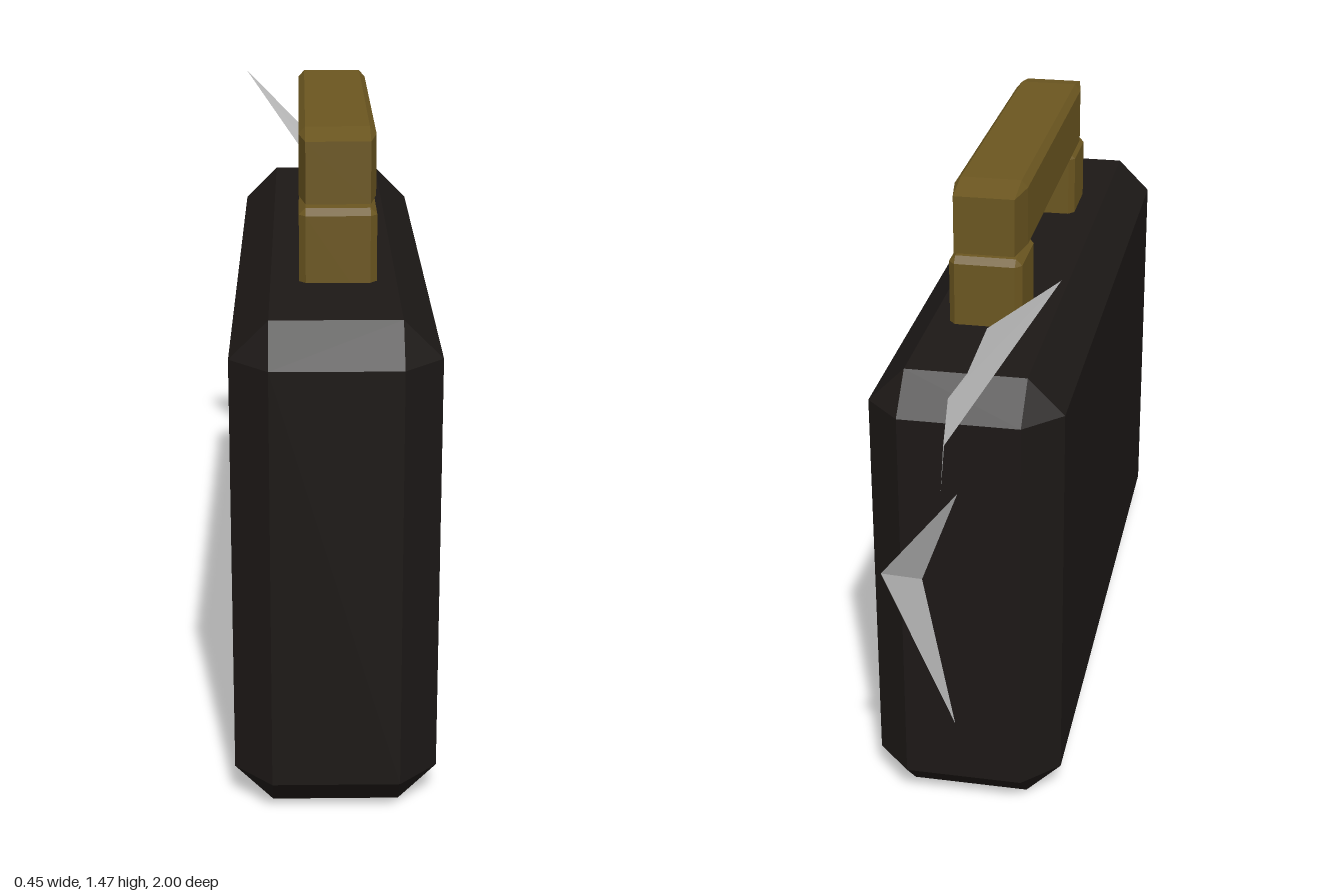
import * as THREE from 'three';
import { ConvexGeometry } from 'three/addons/geometries/ConvexGeometry.js';

// Box between two corners with every edge cut off; c = cut length along x, y and z
function chamferBox(min, max, c) {
  const half = min.map((v, i) => (max[i] - v) / 2);
  const mid = min.map((v, i) => (max[i] + v) / 2);
  const points = [];
  for (let axis = 0; axis < 3; axis++) {
    for (const sx of [-1, 1]) for (const sy of [-1, 1]) for (const sz of [-1, 1]) {
      const p = [sx, sy, sz].map((s, i) => mid[i] + s * (half[i] - (i === axis ? 0 : c[i])));
      points.push(new THREE.Vector3(...p));
    }
  }
  return new ConvexGeometry(points);
}

// Folded thin sheet from a few corners and the triangles joining them
function sheet(corners, triangles) {
  const g = new THREE.BufferGeometry();
  g.setAttribute('position', new THREE.Float32BufferAttribute(triangles.flat().flatMap((i) => corners[i]), 3));
  g.computeVertexNormals();
  return g;
}

export function createModel() {
  const model = new THREE.Group();
  const leather = new THREE.MeshStandardMaterial({ color: 0x1c1816, flatShading: true });
  const brass = new THREE.MeshStandardMaterial({ color: 0x6b5620, flatShading: true });
  const paper = new THREE.MeshStandardMaterial({ color: 0xcccccc, flatShading: true, side: THREE.DoubleSide });

  const add = (name, geometry, material, parent = model) => {
    const mesh = new THREE.Mesh(geometry, material);
    mesh.name = name;
    parent.add(mesh);
  };

  // Case body
  add('caseBody', chamferBox([-0.226, 0, -0.7], [0.226, 1.13, 1], [0.085, 0.085, 0.085]), leather);

  // Handle: a grip on two posts
  const handle = new THREE.Group();
  handle.name = 'handle';
  model.add(handle);
  add('handleGrip', chamferBox([-0.077, 1.292, -0.35], [0.097, 1.465, 0.625], [0.015, 0.017, 0.09]), brass, handle);
  for (const [name, z] of [['backPost', -0.35], ['frontPost', 0.44]]) {
    add(name, chamferBox([-0.077, 1.05, z], [0.097, 1.297, z + 0.185], [0.015, 0.015, 0.017]), brass, handle);
  }

  // Papers sticking out of the back
  add('upperPaper', sheet([
    [-0.226, 1.4, -0.69], [-0.035, 1.145, -1], [0.045, 0.86, -0.69],
    [0.032, 1.085, -0.655], [0.006, 1.125, -0.355],
  ], [[0, 1, 3], [1, 2, 3], [0, 3, 4]]), paper);
  add('lowerPaper', sheet([
    [0.11, 0.82, -0.985], [0, 0.872, -0.69], [0.09, 0.63, -0.69], [0.015, 0.22, -0.69],
  ], [[0, 1, 2], [0, 2, 3]]), paper);

  return model;
}
